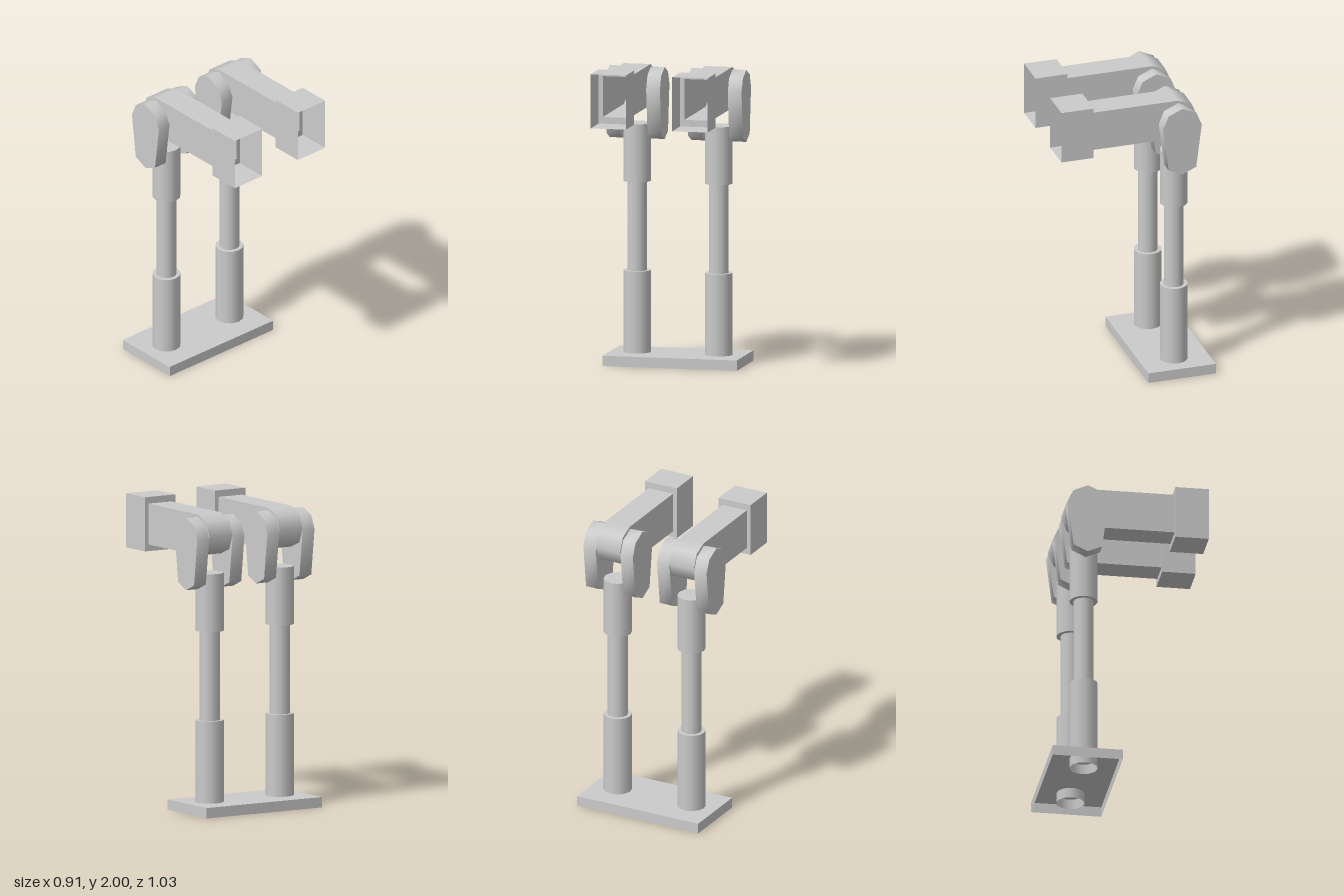
import * as THREE from 'three';
import { toCreasedNormals } from 'three/addons/utils/BufferGeometryUtils.js';

const material = new THREE.MeshStandardMaterial({ color: 0xcccccc, side: THREE.DoubleSide });

function addMesh(parent, name, geometry, x = 0, y = 0, z = 0) {
  const mesh = new THREE.Mesh(geometry, material);
  mesh.name = name;
  mesh.position.set(x, y, z);
  parent.add(mesh);
  return mesh;
}

// Thin-walled box; open lists the missing sides (0..5 = +x -x +y -y +z -z)
function openBox(w, h, d, open) {
  const geometry = new THREE.BoxGeometry(w, h, d);
  const kept = Array.from(geometry.index.array).filter((_, i) => !open.includes(Math.floor(i / 6)));
  geometry.setIndex(kept);
  geometry.clearGroups();
  return geometry;
}

function rectangle(target, w, h) {
  return target.setFromPoints([[-1, -1], [1, -1], [1, 1], [-1, 1]]
    .map(([x, y]) => new THREE.Vector2(x * w / 2, y * h / 2)));
}

// Rounded side plate, outlined in (z, y) and extruded along x
function sidePlateGeometry(width) {
  const half = [[0, 1.94], [0.095, 1.897], [0.132, 1.81], [0.094, 1.51], [0, 1.468]];
  const other = half.slice(1, -1).reverse().map(([z, y]) => [-z, y]);
  const shape = new THREE.Shape([...half, ...other].map(([z, y]) => new THREE.Vector2(z, y)));
  const geometry = new THREE.ExtrudeGeometry(shape, { depth: width, bevelEnabled: false });
  geometry.translate(0, 0, -width / 2);
  geometry.rotateY(Math.PI / 2);
  return toCreasedNormals(geometry, 1.2);
}

const PIVOT_Z = -0.287, PIVOT_Y = 1.822, ARM_R = 0.134, ARM_W = 0.179;
const CUFF_BACK = 0.297, CUFF_FRONT = 0.517;

function createUnit(name) {
  const unit = new THREE.Group();
  unit.name = name;

  // Stepped post: radius, bottom, top, open at the foot
  const sections = [
    ['lowerSleeve', 0.092, 0, 0.605],
    ['postRod', 0.066, 0.6, 1.195],
    ['upperSleeve', 0.092, 1.19, 1.57],
  ];
  for (const [part, r, bottom, top] of sections) {
    const geometry = new THREE.CylinderGeometry(r, r, top - bottom, 12);
    if (part === 'lowerSleeve') {
      // drop the foot cap, the last group
      geometry.setIndex(Array.from(geometry.index.array).slice(0, geometry.groups[2].start));
      geometry.clearGroups();
    }
    addMesh(unit, part, geometry, 0, (bottom + top) / 2, PIVOT_Z);
  }

  // Pivot plates on both sides of the arm
  for (const side of [-1, 1]) {
    addMesh(unit, side > 0 ? 'leftPivotPlate' : 'rightPivotPlate',
      sidePlateGeometry(0.092), side * 0.137, 0, PIVOT_Z);
  }

  // Hollow arm with a half-round rear end
  const arm = new THREE.Group();
  arm.name = 'arm';
  unit.add(arm);
  const armLength = CUFF_BACK - PIVOT_Z;
  addMesh(arm, 'armTube', openBox(ARM_W, ARM_R * 2, armLength, [4, 5]),
    0, PIVOT_Y, PIVOT_Z + armLength / 2);
  const barrel = new THREE.CylinderGeometry(ARM_R, ARM_R, ARM_W, 4, 1, true, Math.PI / 2, Math.PI);
  barrel.rotateY(0).rotateZ(Math.PI / 2);
  addMesh(arm, 'armEnd', barrel, 0, PIVOT_Y, PIVOT_Z);
  for (const side of [-1, 1]) {
    const cheek = new THREE.CircleGeometry(ARM_R, 4, side > 0 ? -Math.PI / 2 : Math.PI / 2, Math.PI);
    cheek.rotateY(side * Math.PI / 2);
    addMesh(arm, 'armEndCheek', cheek, side * ARM_W / 2, PIVOT_Y, PIVOT_Z);
  }

  // Square cuff, open to the front, with a collar around the arm
  const cuffW = 0.236, cuffH = 0.355;
  addMesh(unit, 'cuff', openBox(cuffW, cuffH, CUFF_FRONT - CUFF_BACK, [4, 5]),
    0, PIVOT_Y, (CUFF_BACK + CUFF_FRONT) / 2);
  const collar = rectangle(new THREE.Shape(), cuffW, cuffH);
  collar.holes.push(rectangle(new THREE.Path(), ARM_W, ARM_R * 2));
  addMesh(unit, 'cuffCollar', new THREE.ShapeGeometry(collar).rotateY(Math.PI), 0, PIVOT_Y, CUFF_BACK);

  return unit;
}

export function createModel() {
  const model = new THREE.Group();
  model.name = 'twinArmStand';

  // Base plate, hollow underneath
  addMesh(model, 'base', openBox(0.894, 0.068, 0.46, [3]), 0, 0.034, PIVOT_Z);

  for (const side of [-1, 1]) {
    const unit = createUnit(side > 0 ? 'leftUnit' : 'rightUnit');
    unit.position.x = side * 0.272;
    model.add(unit);
  }
  return model;
}
